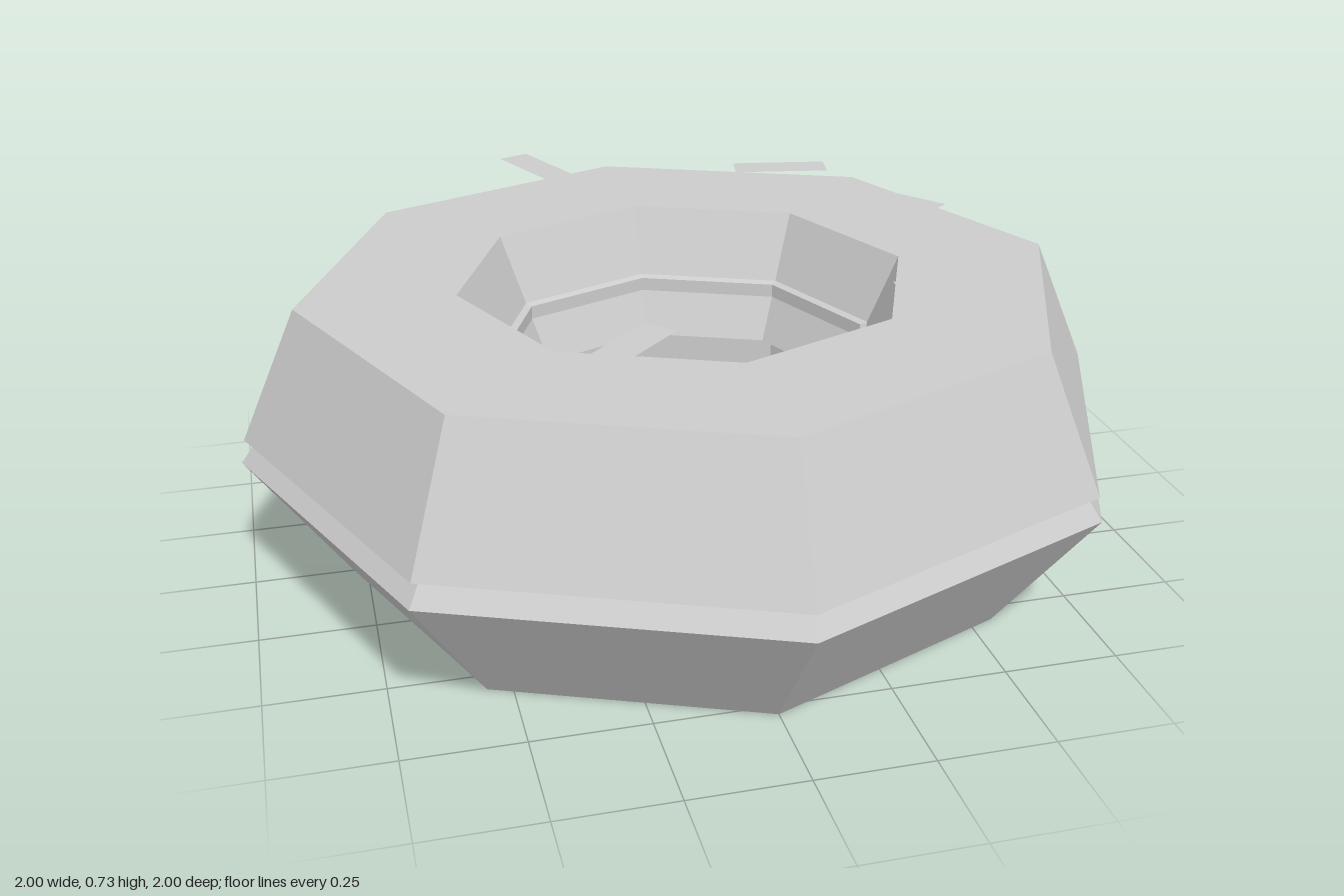
import * as THREE from 'three';

export function createModel() {
  const model = new THREE.Group();
  const grey = new THREE.MeshStandardMaterial({ color: 0xcccccc, flatShading: true, side: THREE.DoubleSide });
  grey.name = 'light grey';

  const add = (name, geometry, parent = model) => {
    const mesh = new THREE.Mesh(geometry, grey);
    mesh.name = name;
    parent.add(mesh);
    return mesh;
  };

  // Dough ring: five-sided tube swept around an octagon
  add('dough', new THREE.TorusGeometry(0.682, 0.318, 5, 8).rotateX(Math.PI / 2)).position.y = 0.302;

  // Icing shell, open underneath, draped over the upper half
  const profile = [[0.99, 0.356], [0.86, 0.65], [0.51, 0.65], [0.38, 0.356]];
  add('icing', new THREE.LatheGeometry(profile.map(([r, y]) => new THREE.Vector2(r, y)), 8));

  // Flat sprinkles hovering above the icing: centre x, z and long direction dx, dz
  const sprinkles = new THREE.Group();
  sprinkles.name = 'sprinkles';
  model.add(sprinkles);
  const strip = new THREE.PlaneGeometry(0.23, 0.077).rotateX(-Math.PI / 2);
  [
    [-0.222, -0.639, 16, 39],
    [0.372, -0.49, 43, 7.5],
    [0.564, -0.174, 26, 34],
    [-0.62, -0.017, -17, 39.5],
    [0.39, 0.47, -4, 43],
    [-0.249, 0.556, -32, 31],
  ].forEach(([x, z, dx, dz]) => {
    const sprinkle = add('sprinkle', strip, sprinkles);
    sprinkle.position.set(x, 0.73, z);
    sprinkle.rotation.y = Math.atan2(-dz, dx);
  });

  return model;
}
